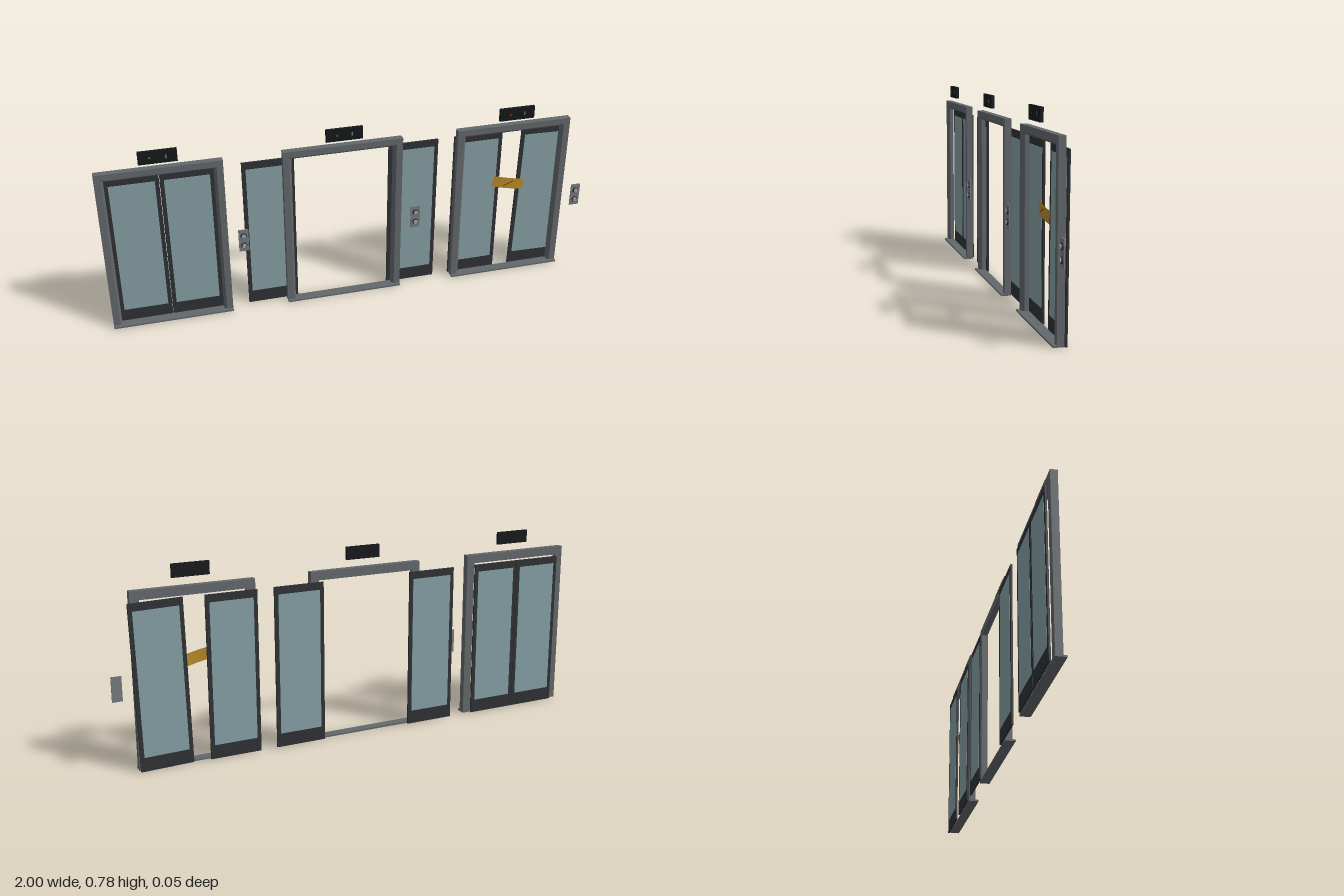
import * as THREE from 'three';

const mat = (color, side = THREE.FrontSide) => new THREE.MeshStandardMaterial({ color, side });
const STEEL = mat(0x63686c), DARK = mat(0x2f3134), GLASS = mat(0x86a0a5), BLACK = mat(0x15171a);
const PLATE = mat(0x777b7e), BUTTON = mat(0xa5a8aa), GREEN = mat(0x3c9a50), RED = mat(0xc03030);
const TAPE = mat(0xb88a2a, THREE.DoubleSide), STRIPE = mat(0x3a2f18, THREE.DoubleSide);

const SPACING = 0.716, FIRST = -0.757;
const HALF = 0.2425, TOP = 0.70, JAMB = 0.035;
const DOOR_W = 0.208, DOOR_Y0 = 0.004, DOOR_Y1 = 0.66, DOOR_Z = -0.0225;

function add(parent, name, geometry, material, x = 0, y = 0, z = 0) {
  const mesh = new THREE.Mesh(geometry, material);
  mesh.name = name;
  mesh.position.set(x, y, z);
  parent.add(mesh);
  return mesh;
}

// box given by its limits on each axis
function box(parent, name, material, [x0, x1], [y0, y1], [z0, z1]) {
  return add(parent, name, new THREE.BoxGeometry(x1 - x0, y1 - y0, z1 - z0), material,
    (x0 + x1) / 2, (y0 + y1) / 2, (z0 + z1) / 2);
}

// casing strip with a splayed inner front edge; u runs from outside to inside
function casing(length) {
  const s = new THREE.Shape([[0, -0.015], [JAMB, -0.015], [JAMB, 0.002], [JAMB - 0.009, 0.012], [0, 0.012]]
    .map(([u, v]) => new THREE.Vector2(u, v)));
  return new THREE.ExtrudeGeometry(s, { depth: length, bevelEnabled: false });
}

function makeFrame() {
  const g = new THREE.Group();
  g.name = 'doorFrame';
  // left strip stands upright; right strip is the same one turned round the other way
  const place = (name, length, u, v, w, origin) => {
    const geo = casing(length);
    geo.applyMatrix4(new THREE.Matrix4().makeBasis(u, v, w));
    add(g, name, geo, STEEL, ...origin);
  };
  const X = new THREE.Vector3(1, 0, 0), Y = new THREE.Vector3(0, 1, 0), Z = new THREE.Vector3(0, 0, 1);
  const nX = X.clone().negate(), nY = Y.clone().negate();
  place('rightJamb', TOP - 0.012, X, Z, nY, [-HALF, TOP - 0.001, 0]);
  place('leftJamb', TOP - 0.012, nX, Z, Y, [HALF, 0.011, 0]);
  place('header', 2 * HALF, nY, Z, nX, [HALF, TOP, 0]);
  box(g, 'sill', STEEL, [-HALF, HALF], [0.004, 0.011], [-0.015, 0.025]);
  return g;
}

// sliding panel: dark rails and stiles around a pane, tall kick plate below
function makeDoor(name) {
  const g = new THREE.Group();
  g.name = name;
  const w = DOOR_W / 2, h = (DOOR_Y1 - DOOR_Y0) / 2, z = [-0.0035, 0.0035];
  const stile = 0.016, kick = -h + 0.056, rail = h - 0.03;
  box(g, 'kickPlate', DARK, [-w, w], [-h, kick], z);
  box(g, 'topRail', DARK, [-w, w], [rail, h], z);
  for (const s of [-1, 1]) {
    const c = s * (w - stile / 2);
    box(g, 'stile', DARK, [c - stile / 2, c + stile / 2], [kick, rail], z);
  }
  box(g, 'pane', GLASS, [-w + stile, w - stile], [kick, rail], [-0.0042, 0.0042]);
  g.position.set(0, (DOOR_Y0 + DOOR_Y1) / 2, DOOR_Z);
  return g;
}

// floor display above the header
function makeIndicator(light) {
  const g = new THREE.Group();
  g.name = 'floorIndicator';
  box(g, 'indicatorCase', BLACK, [-0.0735, 0.0735], [-0.026, 0.026], [-0.0065, 0.0055]);
  box(g, 'indicatorScreen', BLACK, [-0.045, 0.045], [-0.012, 0.012], [0.0055, 0.007]);
  const arrow = add(g, 'arrowLight', new THREE.CircleGeometry(0.006, 3), light, -0.03, 0, 0.0075);
  arrow.rotation.z = Math.PI / 2;
  box(g, 'floorLight', PLATE, [0.028, 0.034], [-0.007, 0.007], [0.007, 0.0075]);
  g.position.set(0, 0.754, 0.0195);
  return g;
}

// call plate with two round buttons
function makeCallPanel(light) {
  const g = new THREE.Group();
  g.name = 'callPanel';
  box(g, 'callPlate', PLATE, [-0.02, 0.02], [-0.049, 0.049], [-0.0025, 0.0025]);
  for (const y of [0.022, -0.022]) {
    const ring = add(g, 'buttonRing', new THREE.CylinderGeometry(0.011, 0.013, 0.005, 20), DARK, 0, y, 0.005);
    const cap = add(g, 'button', new THREE.CylinderGeometry(0.008, 0.009, 0.004, 20), BUTTON, 0, y, 0.009);
    ring.rotation.x = cap.rotation.x = Math.PI / 2;
    const dot = add(g, 'buttonLight', new THREE.CircleGeometry(0.0035, 3), light, 0, y, 0.0113);
    dot.rotation.z = y > 0 ? Math.PI / 2 : -Math.PI / 2;
  }
  g.position.set(0.303, 0.331, 0.0125);
  return g;
}

// slightly bowed warning strip across the jammed doors
function makeWarningStrip() {
  const g = new THREE.Group();
  g.name = 'warningStrip';
  const bow = (x) => 0.008 * (1 - (x / 0.07) ** 2);
  const strip = new THREE.PlaneGeometry(0.14, 0.048, 12, 1);
  const p = strip.attributes.position;
  for (let i = 0; i < p.count; i++) p.setZ(i, bow(p.getX(i)));
  strip.computeVertexNormals();
  add(g, 'strip', strip, TAPE);
  const mark = add(g, 'crease', new THREE.PlaneGeometry(0.05, 0.003), STRIPE, 0, 0, 0.0085);
  mark.rotation.z = 0.6;
  g.position.set(0, 0.42, -0.012);
  g.rotation.z = -0.22;
  return g;
}

export function createModel() {
  const model = new THREE.Group();
  model.name = 'elevatorDoors';
  // door centres relative to each bay, and lean of the left door
  const bays = [
    { name: 'closedElevator', doors: [-0.105, 0.105], lean: 0, light: GREEN },
    { name: 'openElevator', doors: [-0.297, 0.297], lean: 0, light: GREEN },
    { name: 'jammedElevator', doors: [-0.142, 0.143], lean: -0.024, light: RED },
  ];
  bays.forEach((b, i) => {
    const bay = new THREE.Group();
    bay.name = b.name;
    bay.position.x = FIRST + i * SPACING;
    const right = makeDoor('rightDoor'), left = makeDoor('leftDoor');
    right.position.x = b.doors[0];
    left.position.x = b.doors[1];
    left.rotation.z = b.lean;
    bay.add(makeFrame(), right, left, makeIndicator(b.light), makeCallPanel(b.light));
    if (b.lean) bay.add(makeWarningStrip());
    model.add(bay);
  });
  return model;
}
